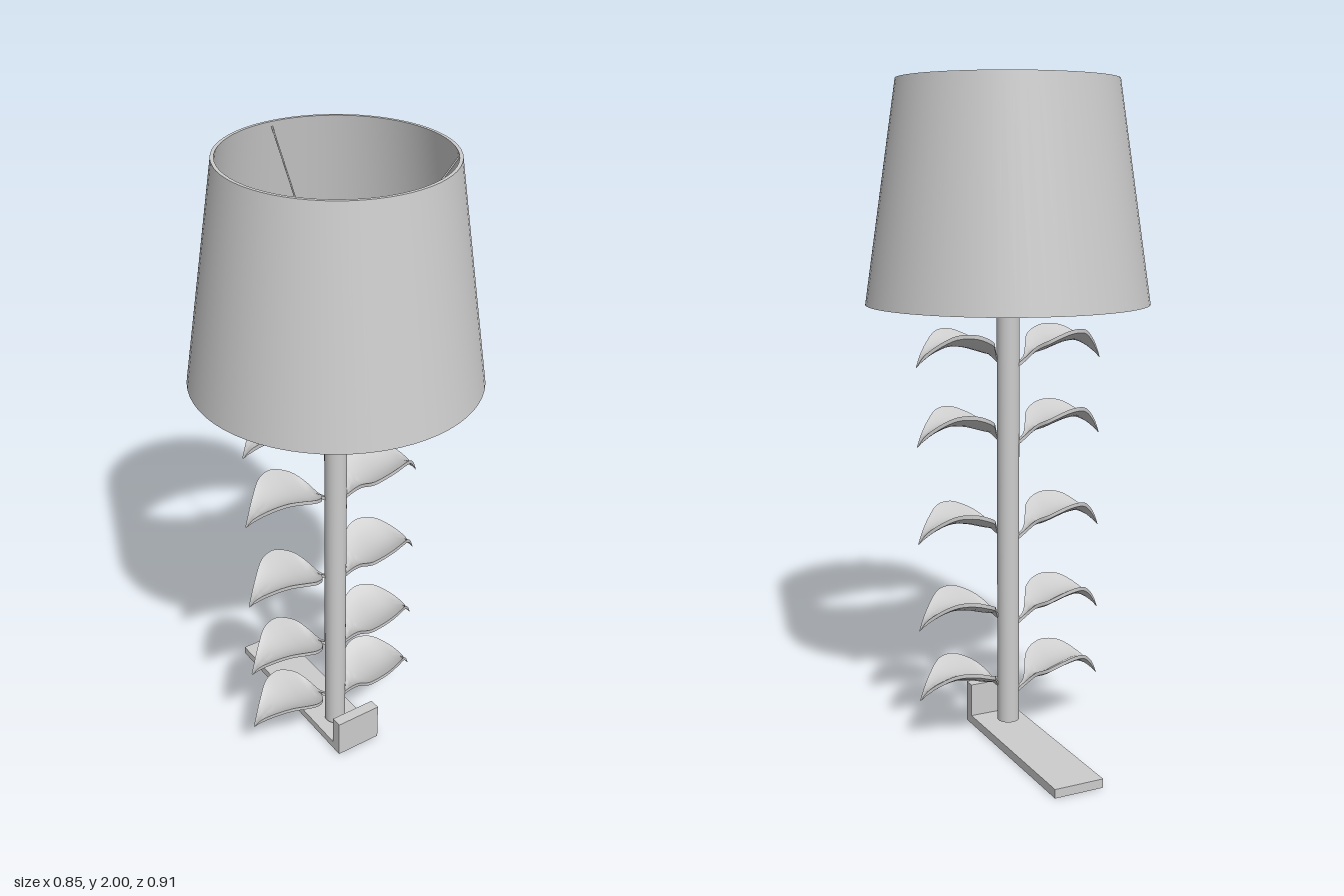
import * as THREE from 'three';
import { toCreasedNormals } from 'three/addons/utils/BufferGeometryUtils.js';

const AXIS_Z = 0.03; // the pole and shade stand a little forward of the centre

// Arched, cupped leaf growing along +x, built from cross-section loops
function leafGeometry() {
  // distance from pole axis, edge height, back edge z, front edge z
  const sections = [
    [0.02, -0.105, 0.008, 0.022], [0.045, -0.085, 0.008, 0.026], [0.072, -0.05, -0.03, 0.053],
    [0.095, -0.03, -0.07, 0.088], [0.13, -0.012, -0.095, 0.102], [0.165, -0.001, -0.098, 0.104],
    [0.215, -0.003, -0.078, 0.086], [0.262, -0.033, -0.04, 0.048], [0.293, -0.068, -0.008, 0.022],
    [0.308, -0.1, 0.008, 0.014],
  ];
  const edge = k => new THREE.CatmullRomCurve3(
    sections.map(s => new THREE.Vector3(s[0], s[1], s[k])), false, 'centripetal');
  const back = edge(2), front = edge(3);
  const rows = 36, across = 8, ring = 2 * (across + 1);
  const pos = [], index = [];
  for (let i = 0; i <= rows; i++) {
    const t = i / rows;
    const a = back.getPoint(t), b = front.getPoint(t);
    const thick = 0.012 * Math.min(1, (1 - t) * 8);
    const cup = 0.17 * Math.abs(b.z - a.z);
    for (let j = 0; j < ring; j++) {
      const under = j > across;
      const s = (under ? ring - 1 - j : j) / across;
      const p = a.clone().lerp(b, s);
      pos.push(p.x, p.y - cup * 4 * s * (1 - s) - (under ? thick : 0), p.z);
    }
  }
  for (let i = 0; i < rows; i++) {
    for (let j = 0; j < ring; j++) {
      const a = i * ring + j, b = i * ring + (j + 1) % ring;
      index.push(a, b, a + ring, b, b + ring, a + ring);
    }
  }
  const g = new THREE.BufferGeometry();
  g.setAttribute('position', new THREE.Float32BufferAttribute(pos, 3));
  g.setIndex(index);
  return toCreasedNormals(g, 0.7);
}

export function createModel() {
  const model = new THREE.Group();
  model.name = 'floorLamp';
  const grey = new THREE.MeshStandardMaterial({ color: 0xcccccc });
  grey.name = 'light grey';

  const add = (name, geometry, x, y, z, parent = model) => {
    const mesh = new THREE.Mesh(geometry, grey);
    mesh.name = name;
    mesh.position.set(x, y, z);
    parent.add(mesh);
    return mesh;
  };
  // Closed ring with a wall, turned from a profile
  const turned = points => toCreasedNormals(
    new THREE.LatheGeometry([...points, points[0]].map(p => new THREE.Vector2(...p)), 64), 0.6);

  // L-shaped foot: long plate and front upright
  add('basePlate', new THREE.BoxGeometry(0.155, 0.027, 0.612), 0.0095, 0.0135, -0.15);
  add('baseUpright', new THREE.BoxGeometry(0.155, 0.13, 0.036), 0.0095, 0.065, 0.138);

  // Everything turned about the pole axis
  const stand = new THREE.Group();
  stand.name = 'stand';
  stand.position.z = AXIS_Z;
  model.add(stand);

  const bottom = 0.037, top = 1.59;
  add('pole', new THREE.CylinderGeometry(0.034, 0.034, top - bottom, 32),
    0, (top + bottom) / 2, 0, stand);

  // Shade, open at both ends
  add('shade', turned([[0.424, 1.35], [0.327, 2], [0.317, 2], [0.414, 1.35]]), 0, 0, 0, stand);

  // Collar and three sloping rods that carry the shade
  add('shadeCollar', turned([[0.046, 1.55], [0.046, 1.585], [0.033, 1.585], [0.033, 1.55]]), 0, 0, 0, stand);
  for (let k = 0; k < 3; k++) {
    const angle = -Math.PI / 2 + k * Math.PI * 2 / 3;
    const at = (r, y) => new THREE.Vector3(r * Math.cos(angle), y, r * Math.sin(angle));
    const path = new THREE.LineCurve3(at(0.04, 1.575), at(0.319, 1.985));
    add('shadeRod', new THREE.TubeGeometry(path, 1, 0.0025, 8), 0, 0, 0, stand);
  }

  // Five pairs of leaves, each pair turned half round from the other side
  const leaf = leafGeometry();
  for (const y of [0.244, 0.467, 0.738, 1.035, 1.273]) {
    add('leftLeaf', leaf, -0.016, y, 0, stand);
    add('rightLeaf', leaf, 0, y, 0, stand).rotation.y = Math.PI;
  }
  return model;
}
